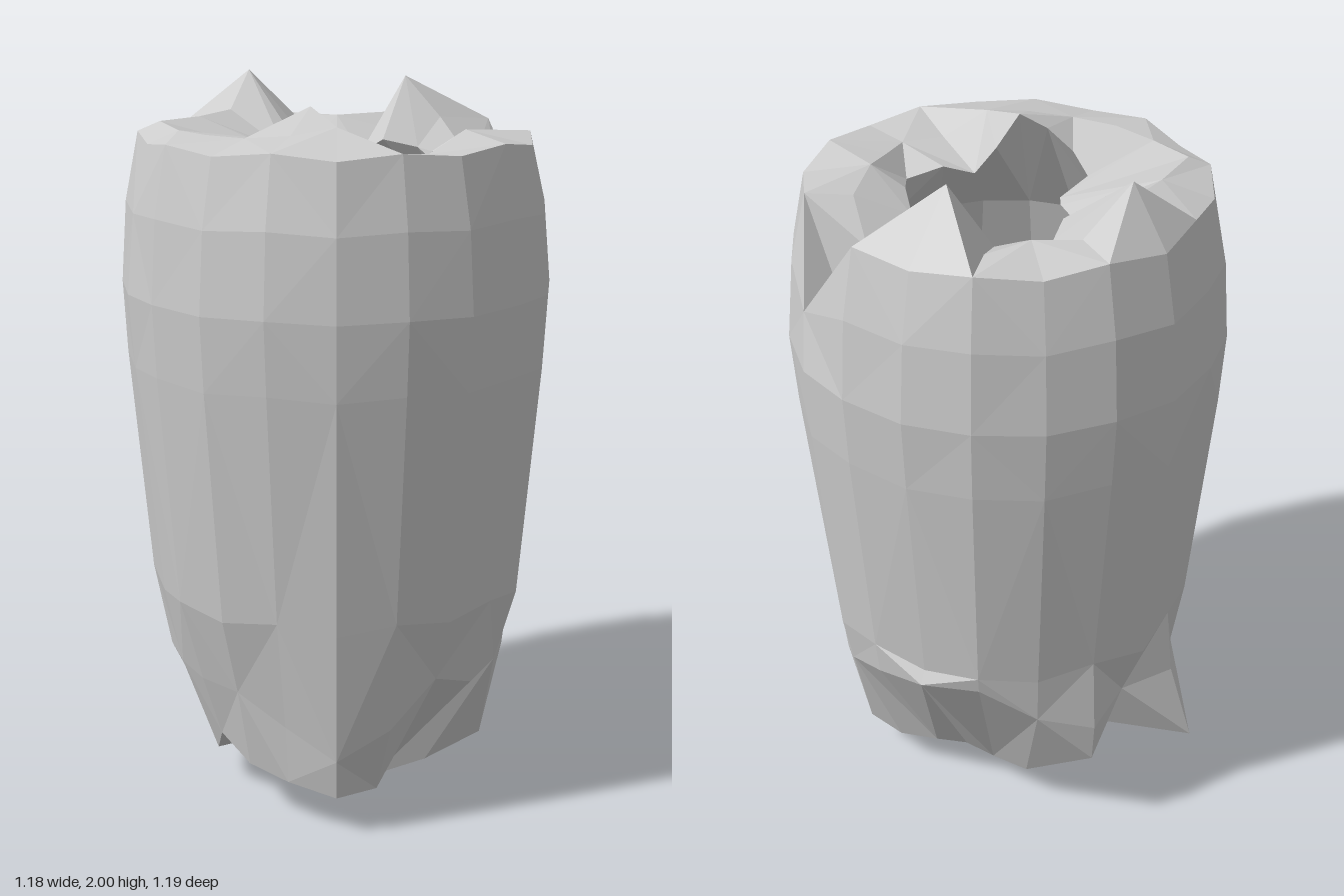
import * as THREE from 'three';

const SIDES = 20;

// A ring of [radius, height, optional sideways shift] entries; angle 0 is the front and turns toward +x
const even = (r, y, wobble = 0) =>
  Array.from({ length: SIDES }, (_, i) => [r + wobble * Math.sin(i * 2.3), y + wobble * Math.cos(i * 3.1)]);

// Skin stacked rings with alternating diagonals
function skin(rings) {
  const pos = [], index = [];
  rings.forEach(ring => ring.forEach(([r, y, shift = 0], i) => {
    const a = ((i + shift) / SIDES) * Math.PI * 2;
    pos.push(r * Math.sin(a), y, r * Math.cos(a));
  }));
  for (let k = 0; k < rings.length - 1; k++) {
    for (let i = 0; i < SIDES; i++) {
      const j = (i + 1) % SIDES;
      const a = k * SIDES + i, b = k * SIDES + j, c = b + SIDES, d = a + SIDES;
      if ((i + k) % 2) index.push(a, b, c, a, c, d);
      else index.push(a, b, d, b, c, d);
    }
  }
  const g = new THREE.BufferGeometry();
  g.setAttribute('position', new THREE.Float32BufferAttribute(pos, 3));
  g.setIndex(index);
  const flat = g.toNonIndexed();
  flat.computeVertexNormals();
  return flat;
}

export function createModel() {
  const stone = new THREE.MeshStandardMaterial({ color: 0xcccccc, flatShading: true, side: THREE.DoubleSide });
  stone.name = 'pale grey';

  // Jagged underside edge
  const hem = [
    [.14, 0], [.27, .05], [.42, .10], [.36, .11], [.30, .13], [.27, .14], [.28, .12], [.34, .12], [.52, .28], [.38, .25],
    [.60, .20], [.38, .12], [.32, .06], [.36, .10], [.40, .20], [.41, .15], [.43, .13], [.47, .11], [.36, .08], [.20, .05]];
  // Lower shoulder where the body starts to taper
  const shoulder = [
    [.46, .37], [.47, .39], [.48, .38], [.50, .46], [.51, .52], [.53, .56], [.52, .57], [.51, .46], [.53, .40], [.46, .42],
    [.53, .42], [.49, .40], [.48, .38], [.46, .38], [.46, .38], [.46, .38], [.45, .30], [.50, .23], [.47, .30], [.46, .42]];
  // Crest of ridges and valleys around the opening
  const crest = [
    [.36, 1.86], [.36, 1.88], [.40, 1.85], [.40, 1.76], [.36, 1.88], [.33, 1.99], [.38, 1.84], [.36, 1.87], [.40, 1.87], [.43, 2.0],
    [.37, 1.90], [.40, 1.89], [.48, 1.89], [.44, 1.88], [.42, 1.88], [.40, 1.88], [.38, 1.89], [.34, 1.91], [.38, 1.83], [.40, 1.84]];
  // Irregular lip of the opening
  const lip = [
    [.30, 1.80], [.27, 1.82], [.25, 1.78], [.27, 1.78], [.28, 1.80], [.22, 1.82], [.22, 1.78], [.23, 1.80], [.25, 1.80], [.20, 1.82],
    [.18, 1.80], [.14, 1.80], [.14, 1.80], [.24, 1.82], [.25, 1.86], [.24, 1.91], [.22, 1.95], [.18, 1.87], [.19, 1.80], [.24, 1.82]];

  const upper = even(.575, 1.67, .006);
  const rim = even(.535, 1.855, .01);
  upper[3] = [.57, 1.6, -.2];
  rim[3] = [.47, 1.65, -.5]; // chipped notch in the rim

  const outside = new THREE.Mesh(skin([
    even(0, .14), hem, shoulder,
    even(.52, .61, .012), even(.58, 1.25, .006), even(.592, 1.45, .003),
    upper, rim, crest, lip]), stone);
  outside.name = 'body';

  // Deep hollow that widens below the opening, with a bowl-shaped floor
  const hollow = new THREE.Mesh(skin([
    lip, even(.42, 1.6), even(.50, 1.3), even(.42, .6), even(.24, .32), even(0, .22)]), stone);
  hollow.name = 'hollow';

  const group = new THREE.Group();
  group.name = 'hollowStump';
  group.add(outside, hollow);
  return group;
}
